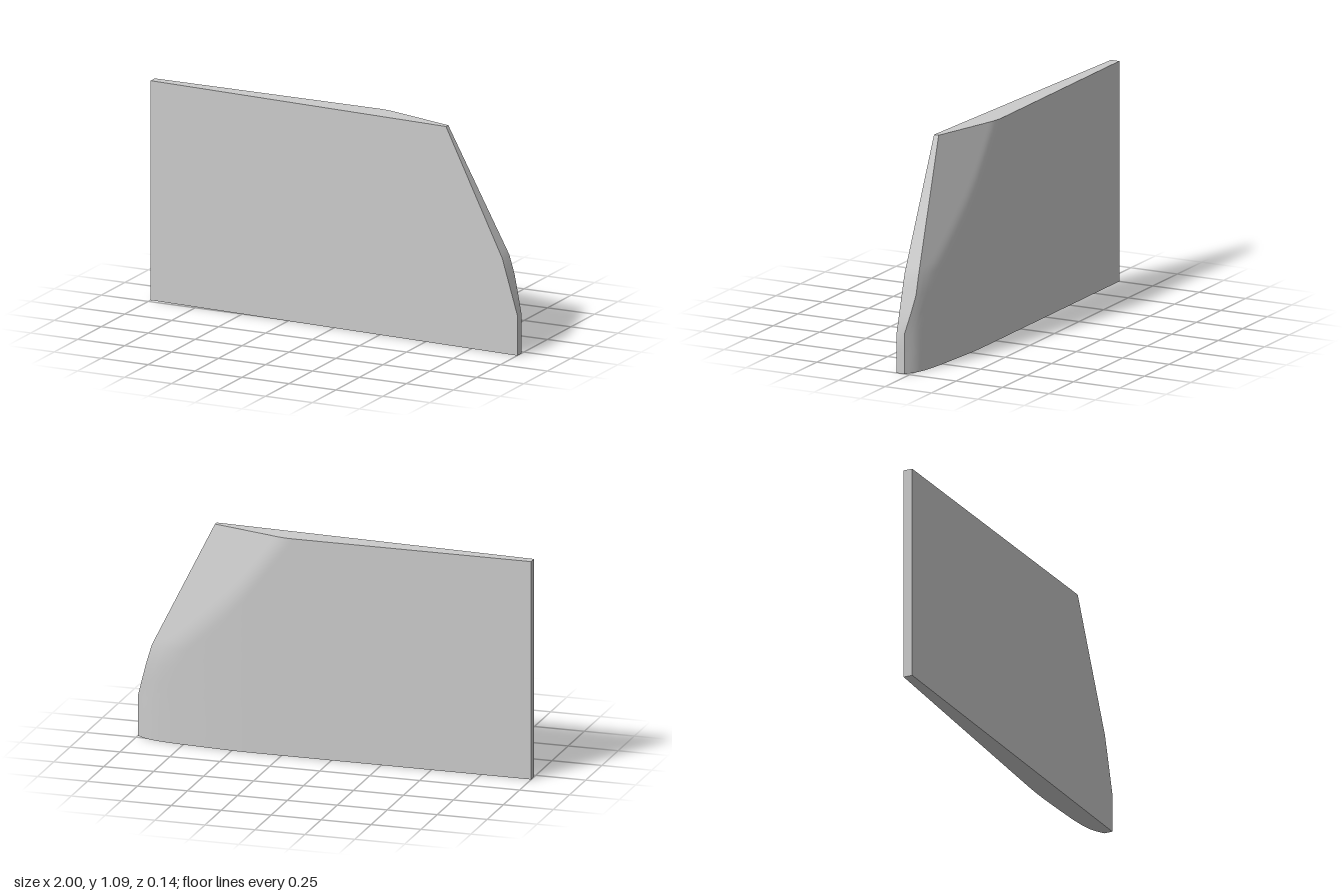
import * as THREE from 'three';
import { toCreasedNormals } from 'three/addons/utils/BufferGeometryUtils.js';

const H = 1.085, BACK = -0.07, FRONT = 0.07, THIN = -0.025;

// Piecewise-linear lookup in a list of [input, output] pairs
function lookup(points, v) {
  for (let i = 1; i < points.length; i++) {
    const [a, p] = points[i - 1], [b, q] = points[i];
    if (v <= b) return p + (q - p) * Math.max(0, (v - a) / (b - a));
  }
  return points[points.length - 1][1];
}

// Outline of the sloping end: x for a given height
const outline = [[0, 1], [0.2, 1], [0.47, 0.92], [H, 0.62]];
const endX = (y) => lookup(outline, y);

// Rounded fall-off of the back towards the end
const falloff = [[0.36, BACK], [0.44, -0.069], [0.52, -0.065], [0.62, -0.057], [0.72, -0.048],
  [0.8, -0.04], [0.88, -0.028], [0.93, -0.014], [0.96, 0], [1, 0.027]];

// Back surface: fall-off blended with a slanted chamfer at the upper corner
function backZ(x, y) {
  const a = lookup(falloff, x);
  const b = 0.045 + 0.3 * (x - 0.62) + 0.228 * (y - H);
  const k = 0.014, h = Math.max(k - Math.abs(a - b), 0) / k;
  return Math.max(a, b) + h * h * k * 0.25;
}

function slabGeometry() {
  const pos = [];
  const tri = (...pts) => pts.forEach((p) => pos.push(...p));
  const quad = (a, b, c, d) => { tri(a, b, c); tri(a, c, d); };

  // Cross-section rows, each running from the thin end to the sloping end
  const cols = 48, rows = [];
  const heights = [0, 0.1, 0.2, 0.29, 0.38, 0.47];
  for (let i = 1; i <= 16; i++) heights.push(0.47 + (H - 0.47) * i / 16);
  for (const y of heights) {
    const row = [[-1, y, BACK]];
    for (let i = 0; i <= cols; i++) {
      const x = 0.1 + (endX(y) - 0.1) * i / cols;
      row.push([x, y, backZ(x, y)]);
    }
    rows.push(row);
  }
  const last = cols + 1, top = rows.length - 1;

  // Back skin and end wall
  for (let r = 0; r < top; r++) {
    const lo = rows[r], hi = rows[r + 1];
    for (let i = 0; i < last; i++) quad(lo[i + 1], lo[i], hi[i], hi[i + 1]);
    const p = lo[last], q = hi[last];
    quad([p[0], p[1], FRONT], p, q, [q[0], q[1], FRONT]);
  }

  // Bottom and top faces
  const frontOf = ([x, y], xe) => [x, y, THIN + (FRONT - THIN) * (x + 1) / (xe + 1)];
  for (let i = 0; i < last; i++) {
    const b0 = rows[0][i], b1 = rows[0][i + 1], t0 = rows[top][i], t1 = rows[top][i + 1];
    quad(b0, b1, frontOf(b1, 1), frontOf(b0, 1));
    quad(frontOf(t0, 0.62), frontOf(t1, 0.62), t1, t0);
  }

  // Front face: tapered main panel and flat strip along the sloping end
  const A = [-1, 0, THIN], D = [-1, H, THIN];
  const [B, E, F, C] = outline.map(([y, x]) => [x, y, FRONT]);
  quad(A, B, C, D);
  quad(B, E, F, C);

  // Thin end wall
  quad([-1, 0, BACK], A, D, [-1, H, BACK]);

  const geo = new THREE.BufferGeometry();
  geo.setAttribute('position', new THREE.Float32BufferAttribute(pos, 3));
  return toCreasedNormals(geo, 0.45);
}

export function createModel() {
  const group = new THREE.Group();
  group.name = 'taperedPanel';
  const slab = new THREE.Mesh(slabGeometry(), new THREE.MeshStandardMaterial({ color: 0xcccccc }));
  slab.name = 'panel';
  group.add(slab);
  return group;
}
